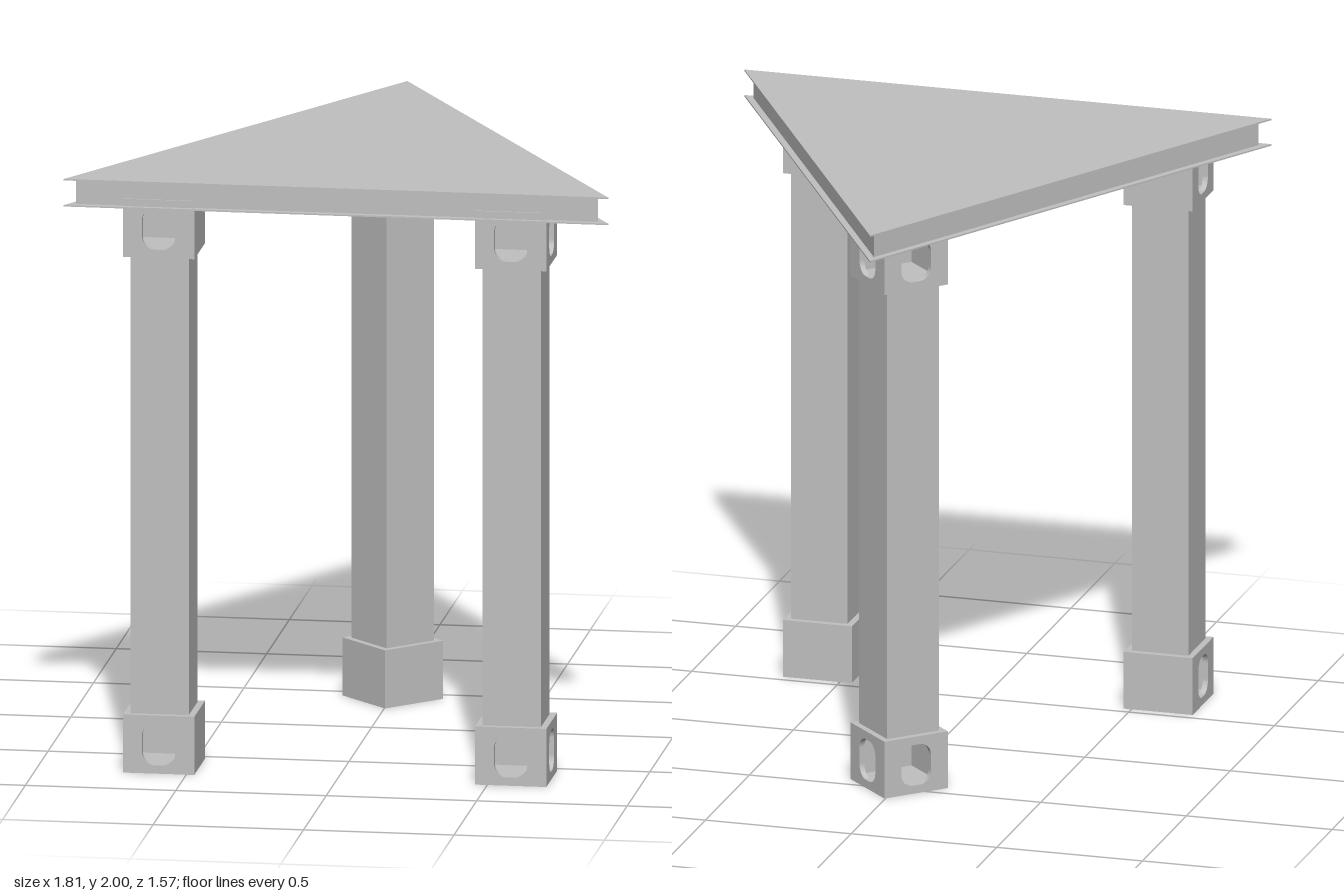
import * as THREE from 'three';

const grey = new THREE.MeshStandardMaterial({ color: 0xc0c0c0 });
grey.name = 'grey';

const BLOCK = 0.237, BLOCK_H = 0.196, WALL = 0.018, SHAFT = 0.194;
const SHAFT_TOP = 1.74, PLATE = 0.005, TOP = 2, UNDER = 1.907;

function part(name, geometry, x = 0, y = 0, z = 0) {
  const mesh = new THREE.Mesh(geometry, grey);
  mesh.name = name;
  mesh.position.set(x, y, z);
  return mesh;
}

// Wall panel with a rounded opening, inner face at z = 0
function openPanel(width) {
  const w = width / 2, h = BLOCK_H / 2;
  const shape = new THREE.Shape([[-w, -h], [w, -h], [w, h], [-w, h]].map(p => new THREE.Vector2(...p)));
  const a = 0.055, b = 0.07, r = 0.042;
  const hole = new THREE.Path();
  hole.absarc(a - r, b - r, r, 0, Math.PI / 2);
  hole.absarc(r - a, b - r, r, Math.PI / 2, Math.PI);
  hole.absarc(r - a, r - b, r, Math.PI, Math.PI * 1.5);
  hole.absarc(a - r, r - b, r, Math.PI * 1.5, Math.PI * 2);
  hole.closePath();
  shape.holes.push(hole);
  return new THREE.ExtrudeGeometry(shape, { depth: WALL, bevelEnabled: false, curveSegments: 6 });
}

// Hollow block, open on its two outward walls (+x and +z)
function makeBlock(name, y) {
  const block = new THREE.Group();
  block.name = name;
  block.position.y = y + BLOCK_H / 2;
  const inner = BLOCK - 2 * WALL, off = BLOCK / 2 - WALL;
  block.add(part('openWallFront', openPanel(BLOCK), 0, 0, off));
  const side = part('openWallSide', openPanel(inner), off, 0, 0);
  side.rotation.y = Math.PI / 2;
  block.add(side);
  block.add(part('solidWallBack', new THREE.BoxGeometry(BLOCK, BLOCK_H, WALL), 0, 0, -off - WALL / 2));
  block.add(part('solidWallSide', new THREE.BoxGeometry(WALL, BLOCK_H, inner), -off - WALL / 2, 0, 0));
  for (const s of [-1, 1]) {
    block.add(part(s < 0 ? 'blockFloor' : 'blockCeiling', new THREE.BoxGeometry(inner, WALL, inner),
      0, s * (BLOCK_H - WALL) / 2, 0));
  }
  return block;
}

function makeLeg(name, x, z, turn) {
  const leg = new THREE.Group();
  leg.name = name;
  leg.position.set(x, 0, z);
  leg.rotation.y = turn;
  const length = SHAFT_TOP - BLOCK_H;
  leg.add(part('shaft', new THREE.BoxGeometry(SHAFT, length, SHAFT), 0, BLOCK_H + length / 2, 0));
  leg.add(makeBlock('foot', 0), makeBlock('capital', SHAFT_TOP));
  return leg;
}

// Flat triangular slab, its sides moved in by inset
function triangleSlab(name, y0, y1, inset) {
  const halfW = 0.905 - inset * Math.sqrt(3), front = 0.785 - inset, back = -0.785 + inset * 2;
  const shape = new THREE.Shape([
    new THREE.Vector2(-halfW, -front), new THREE.Vector2(halfW, -front), new THREE.Vector2(0, -back)]);
  const geometry = new THREE.ExtrudeGeometry(shape, { depth: y1 - y0, bevelEnabled: false });
  geometry.rotateX(-Math.PI / 2);
  return part(name, geometry, 0, y0, 0);
}

export function createModel() {
  const table = new THREE.Group();
  table.name = 'triangularTable';
  // Table top: a recessed core between two thin plates
  table.add(triangleSlab('topPlate', TOP - PLATE, TOP, 0));
  table.add(triangleSlab('topCore', UNDER + PLATE, TOP - PLATE, 0.022));
  table.add(triangleSlab('bottomPlate', UNDER, UNDER + PLATE, 0));
  // Legs, each with its openings facing outward
  table.add(makeLeg('leftFrontLeg', 0.578, 0.65, 0));
  table.add(makeLeg('rightFrontLeg', -0.592, 0.65, -Math.PI / 2));
  table.add(makeLeg('backLeg', 0.003, -0.443, Math.PI * 0.75));
  return table;
}
